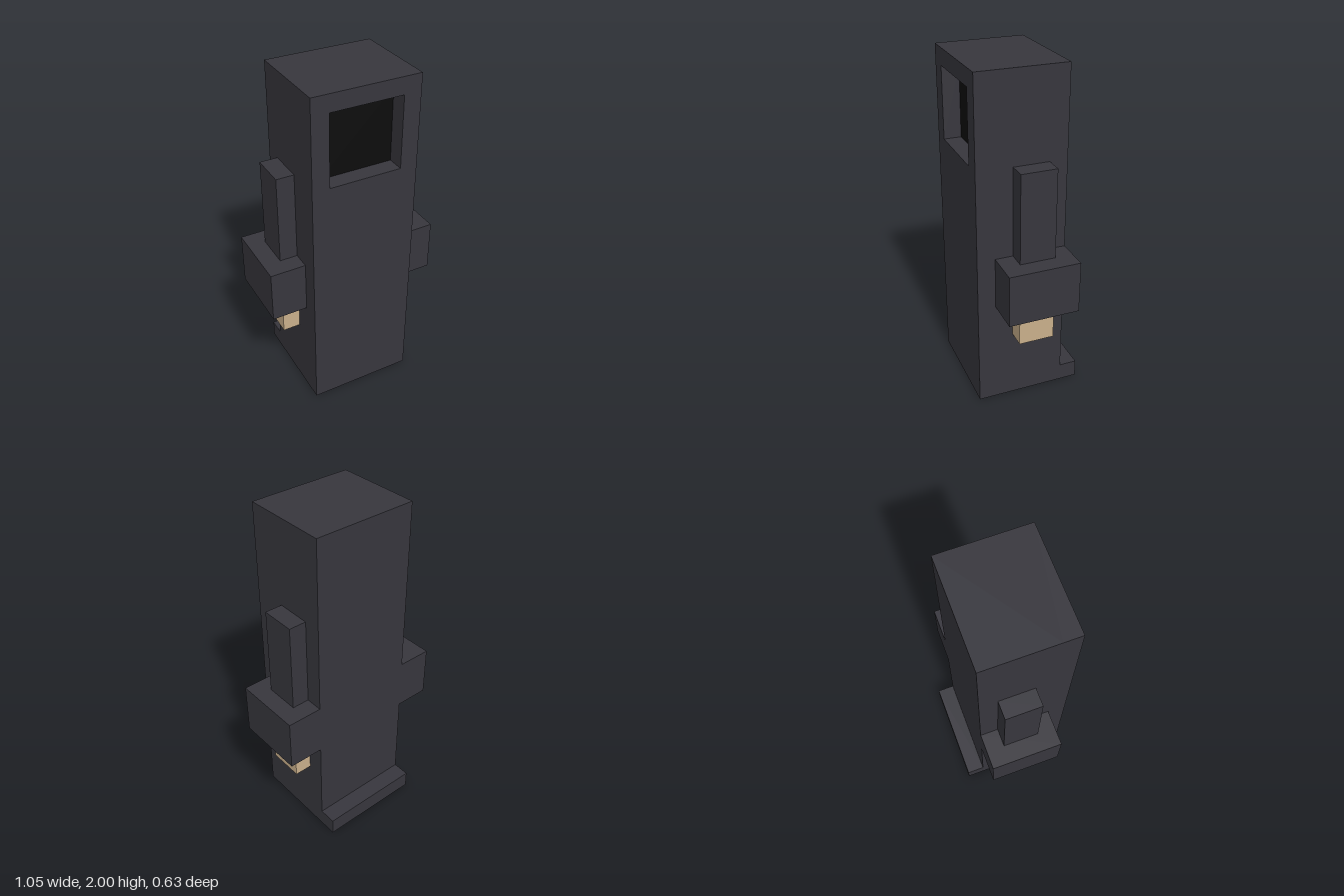
import * as THREE from 'three';

const robeMat = new THREE.MeshStandardMaterial({ name: 'charcoalCloth', color: 0x37363d });
const voidMat = new THREE.MeshStandardMaterial({ name: 'black', color: 0x0d0d0d });
const skinMat = new THREE.MeshStandardMaterial({ name: 'tanSkin', color: 0xc9af8b });

// Box given by its minimum and maximum corners
function box(name, mat, [x0, y0, z0], [x1, y1, z1]) {
  const mesh = new THREE.Mesh(new THREE.BoxGeometry(x1 - x0, y1 - y0, z1 - z0), mat);
  mesh.position.set((x0 + x1) / 2, (y0 + y1) / 2, (z0 + z1) / 2);
  mesh.name = name;
  return mesh;
}

function rectangle(Type, x, y0, y1) {
  const path = new Type();
  path.moveTo(-x, y0).lineTo(x, y0).lineTo(x, y1).lineTo(-x, y1).closePath();
  return path;
}

export function createModel() {
  const model = new THREE.Group();
  model.name = 'hoodedFigure';

  // Robe: solid back block and a front layer with the hood opening
  model.add(box('robeBack', robeMat, [-0.315, 0, -0.21], [0.315, 2, 0.21]));
  const front = rectangle(THREE.Shape, 0.315, 0, 2);
  front.holes.push(rectangle(THREE.Path, 0.213, 1.475, 1.9));
  const robeFront = new THREE.Mesh(
    new THREE.ExtrudeGeometry(front, { depth: 0.105, bevelEnabled: false }), robeMat);
  robeFront.position.z = 0.21;
  robeFront.name = 'robeFront';
  model.add(robeFront);

  // Dark face at the bottom of the hood recess
  model.add(box('hoodShadow', voidMat, [-0.213, 1.475, 0.208], [0.213, 1.9, 0.213]));

  // Hem trailing behind the robe
  model.add(box('hem', robeMat, [-0.315, 0, -0.315], [0.315, 0.105, -0.21]));

  // Arms: upper sleeve, wide cuff and hand on each side
  for (const [side, s] of [['left', 1], ['right', -1]]) {
    const arm = new THREE.Group();
    arm.name = side + 'Arm';
    const part = (name, mat, width, y0, y1, z) => {
      const xs = [s * 0.315, s * (0.315 + width)].sort((a, b) => a - b);
      arm.add(box(side + name, mat, [xs[0], y0, -z], [xs[1], y1, z]));
    };
    part('Sleeve', robeMat, 0.105, 0.945, 1.475, 0.105);
    part('Cuff', robeMat, 0.21, 0.635, 0.945, 0.21);
    part('Hand', skinMat, 0.105, 0.42, 0.635, 0.105);
    model.add(arm);
  }
  return model;
}
